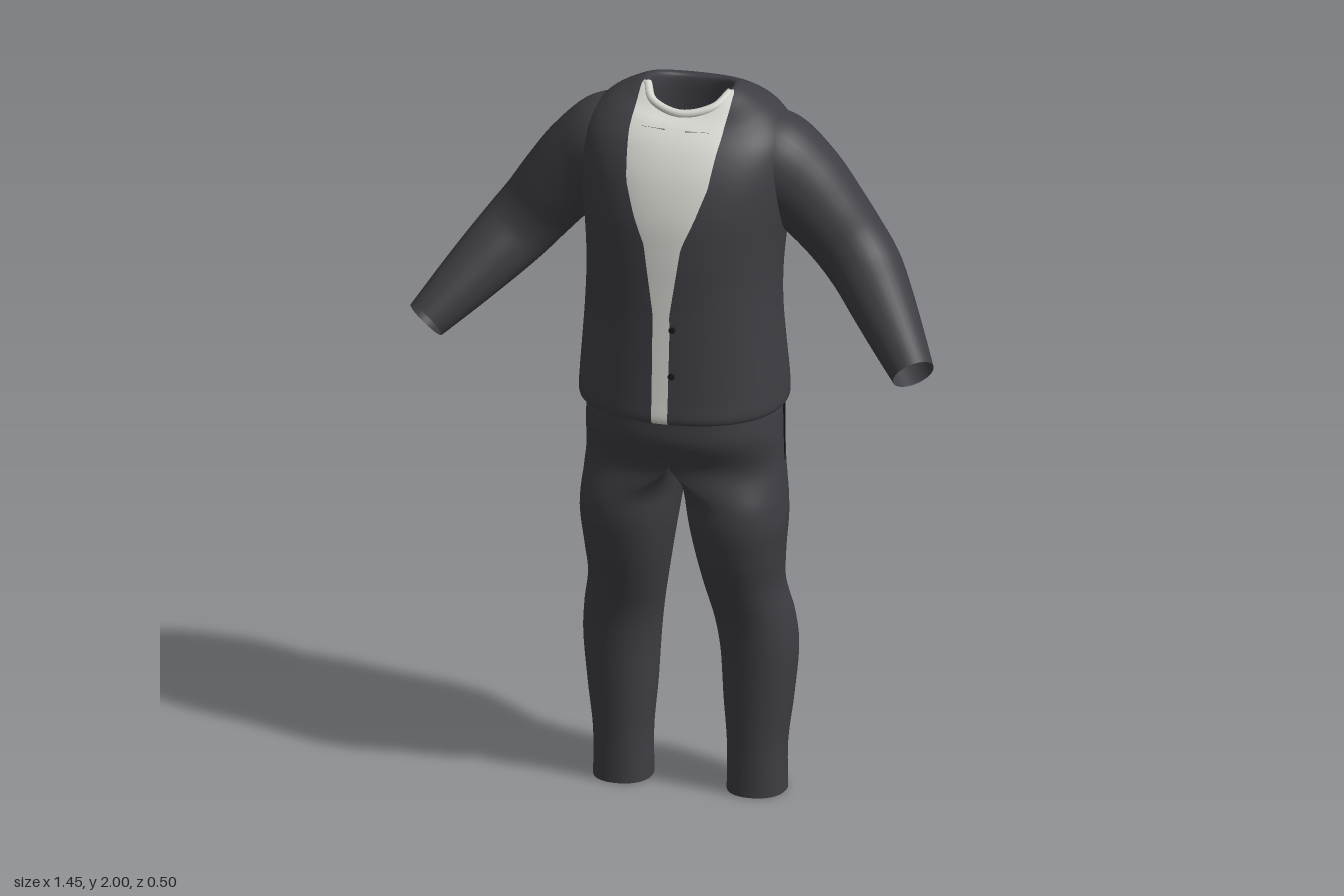
import * as THREE from 'three';
import { mergeVertices } from 'three/addons/utils/BufferGeometryUtils.js';

const paint = (name, color) => {
  const m = new THREE.MeshStandardMaterial({ color, side: THREE.DoubleSide });
  m.name = name;
  return m;
};

// Smooth interpolation through rows of numbers, t in 0..1
function sample(rows, t) {
  const s = Math.min(t, 1) * (rows.length - 1);
  const i = Math.min(Math.floor(s), rows.length - 2), k = s - i;
  const a = rows[Math.max(i - 1, 0)], b = rows[i], c = rows[i + 1], d = rows[Math.min(i + 2, rows.length - 1)];
  return b.map((_, n) => {
    const m0 = (c[n] - a[n]) / 2, m1 = (d[n] - b[n]) / 2, k2 = k * k, k3 = k2 * k;
    return (2 * k3 - 3 * k2 + 1) * b[n] + (k3 - 2 * k2 + k) * m0 + (3 * k2 - 2 * k3) * c[n] + (k3 - k2) * m1;
  });
}

// Smooth surface from f(i, j) -> [x, y, z], emitted column by column
function surface(nu, nv, f) {
  const pos = [], idx = [];
  for (let i = 0; i <= nu; i++) for (let j = 0; j <= nv; j++) pos.push(...f(i, j));
  for (let i = 0; i < nu; i++) for (let j = 0; j < nv; j++) {
    const a = i * (nv + 1) + j, b = a + nv + 1;
    idx.push(a, b, b + 1, a, b + 1, a + 1);
  }
  const g = new THREE.BufferGeometry();
  g.setAttribute('position', new THREE.Float32BufferAttribute(pos, 3));
  g.setIndex(idx);
  const merged = mergeVertices(g, 1e-5);
  merged.computeVertexNormals();
  return merged;
}

const sgnPow = (v, p) => Math.sign(v) * Math.abs(v) ** p;
const POW = 2 / 2.2;

// Jacket rings: y, half width, front z, back z, front drop, back drop
const TORSO = [
  [1.15, 0.26, 0.225, -0.205, 0, 0], [1.13, 0.272, 0.24, -0.22, 0, 0], [1.145, 0.281, 0.249, -0.23, 0, 0],
  [1.2, 0.279, 0.245, -0.228, 0, 0], [1.3, 0.271, 0.238, -0.214, 0, 0], [1.4, 0.264, 0.232, -0.206, 0, 0],
  [1.5, 0.262, 0.228, -0.216, 0, 0], [1.6, 0.268, 0.224, -0.236, 0, 0], [1.7, 0.28, 0.214, -0.25, 0, 0],
  [1.8, 0.29, 0.185, -0.255, 0, 0], [1.88, 0.282, 0.143, -0.246, 0.005, 0], [1.94, 0.235, 0.098, -0.225, 0.02, 0],
  [1.98, 0.172, 0.062, -0.188, 0.045, 0.01], [2.0, 0.122, 0.035, -0.15, 0.055, 0.02],
  [1.97, 0.108, 0.022, -0.138, 0.05, 0.01], [1.88, 0.115, 0.03, -0.14, 0.02, 0],
];
// Half width of the shirt opening by height
const OPENING = [[1.1, 0.022], [1.44, 0.024], [1.63, 0.052], [1.7, 0.082], [1.79, 0.113], [1.92, 0.128], [2.1, 0.128]];
function opening(y) {
  const i = Math.max(1, OPENING.findIndex((p) => p[0] >= y));
  const [y0, w0] = OPENING[i - 1], [y1, w1] = OPENING[i];
  return w0 + (w1 - w0) * (y - y0) / (y1 - y0);
}
function torsoPoint(ring, angle) {
  const [y, rx, zf, zb, df, db] = ring, c = Math.cos(angle);
  return [
    rx * sgnPow(Math.sin(angle), POW),
    y - df * Math.max(0, c) ** 2 - db * Math.max(0, -c) ** 2,
    (zf + zb) / 2 + (zf - zb) / 2 * sgnPow(c, POW),
  ];
}
const angleAt = (ring, x) => Math.asin(Math.min(0.97, (x / ring[1]) ** (1 / POW)));

function torso() {
  const ns = 16, nj = 64, nv = 90;
  const g = surface(ns + nj, nv, (i, j) => {
    const ring = sample(TORSO, j / nv), a = angleAt(ring, opening(ring[0]));
    return torsoPoint(ring, i <= ns ? -a + 2 * a * i / ns : a + (2 * Math.PI - 2 * a) * (i - ns) / nj);
  });
  g.addGroup(0, ns * nv * 6, 0);
  g.addGroup(ns * nv * 6, nj * nv * 6, 1);
  return g;
}

// Thin folded lapel lying on the jacket beside the opening
function lapel(side) {
  const nv = 20, nu = 6;
  return surface(nu, nv, (i, j) => {
    const t = j / nv, y = 1.42 + 0.29 * t, u = side > 0 ? i / nu : 1 - i / nu;
    const ring = sample(TORSO, (5 + (y - 1.4) * 10) / (TORSO.length - 1));
    const p = torsoPoint(ring, angleAt(ring, opening(y) + 0.075 * t * u));
    return [side * p[0], p[1], p[2] + 0.005];
  });
}

// Sleeve stations: x, y, z, radius
const SLEEVE = [
  [0.14, 1.83, -0.06, 0.12], [0.22, 1.795, -0.065, 0.138], [0.3, 1.735, -0.07, 0.125], [0.37, 1.66, -0.07, 0.112],
  [0.43, 1.585, -0.07, 0.103], [0.485, 1.52, -0.05, 0.098], [0.545, 1.455, 0.01, 0.088],
  [0.61, 1.385, 0.08, 0.074], [0.675, 1.315, 0.15, 0.058],
];
function sleeve(side) {
  const nu = 32, nv = 48;
  const at = (t) => sample(SLEEVE, t);
  return surface(nu, nv, (i, j) => {
    const t = j / nv, s = at(t);
    const T = new THREE.Vector3(...at(Math.min(1, t + 0.03))).sub(new THREE.Vector3(...at(Math.max(0, t - 0.03)))).normalize();
    const A = new THREE.Vector3(0, 0, 1).addScaledVector(T, -T.z).normalize();
    const B = new THREE.Vector3().crossVectors(T, A);
    const q = 2 * Math.PI * (side > 0 ? i : nu - i) / nu;
    const p = new THREE.Vector3(...s).addScaledVector(A, s[3] * Math.cos(q)).addScaledVector(B, s[3] * Math.sin(q));
    return [side * p.x, p.y, p.z];
  });
}

// Trouser leg rings: y, inner x, outer x, front z, back z
const LEG = [
  [0, 0.105, 0.265, 0.04, -0.13], [0.13, 0.106, 0.265, 0.042, -0.133], [0.26, 0.096, 0.28, 0.05, -0.15],
  [0.4, 0.088, 0.292, 0.062, -0.165], [0.5, 0.075, 0.285, 0.077, -0.155], [0.6, 0.055, 0.267, 0.108, -0.134],
  [0.7, 0.036, 0.272, 0.14, -0.13], [0.8, 0.018, 0.281, 0.16, -0.136], [0.9, 0.003, 0.275, 0.158, -0.155],
  [0.97, 0, 0.27, 0.163, -0.175], [1.05, 0, 0.268, 0.198, -0.195], [1.12, 0, 0.265, 0.2, -0.208],
  [1.2, 0, 0.25, 0.2, -0.195],
];
function leg(side) {
  const nu = 40, nv = 72;
  const g = surface(nu, nv, (i, j) => {
    const [y, xi, xo, zf, zb] = sample(LEG, j / nv);
    const q = 2 * Math.PI * (side > 0 ? i : nu - i) / nu;
    const sx = sgnPow(Math.sin(q), POW), sz = sgnPow(Math.cos(q), POW);
    // round leg turning into half of the hips
    const k = THREE.MathUtils.smoothstep(y, 0.85, 0.98);
    const x = (1 - k) * ((xi + xo) / 2 + (xo - xi) / 2 * sx) + k * Math.max(0, xo * sx);
    return [side * Math.max(0, x), y, (zf + zb) / 2 + (zf - zb) / 2 * sz];
  });
  // keep the centre seam smooth between both halves
  const p = g.attributes.position, n = g.attributes.normal, v = new THREE.Vector3();
  for (let i = 0; i < p.count; i++) {
    if (Math.abs(p.getX(i)) > 1e-3 || Math.abs(p.getZ(i)) < 0.1) continue;
    v.fromBufferAttribute(n, i).setX(0).normalize();
    n.setXYZ(i, v.x, v.y, v.z);
  }
  return g;
}

export function createModel() {
  const group = new THREE.Group();
  const cloth = paint('charcoal cloth', 0x3e3d43);
  const shirt = paint('off-white shirt', 0xd6d6d0);
  const trim = paint('dark trim', 0x1c1c20);
  const shade = paint('grey stitching', 0x77777a);
  const add = (name, geometry, material) => {
    const m = new THREE.Mesh(geometry, material);
    m.name = name;
    group.add(m);
    return m;
  };

  add('jacketAndShirtFront', torso(), [shirt, cloth]);
  for (const [side, label] of [[1, 'left'], [-1, 'right']]) {
    add(label + 'Sleeve', sleeve(side), cloth);
    add(label + 'Lapel', lapel(side), cloth);
    add(label + 'TrouserLeg', leg(side), cloth);
    // side pocket seam
    add(label + 'PocketSeam', new THREE.BoxGeometry(0.006, 0.17, 0.004), trim).position.set(side * 0.268, 1.045, -0.015);
    // collar stitching
    const s = add(label + 'CollarStitch', new THREE.BoxGeometry(0.065, 0.006, 0.006), shade);
    s.position.set(side * 0.06, 1.915, 0.096);
    s.rotation.y = side * 0.12;
  }

  // Shirt collar band
  const path = new THREE.CatmullRomCurve3([[-0.115, 1.99, -0.03], [-0.085, 1.962, 0.02], [0, 1.943, 0.047], [0.085, 1.962, 0.02], [0.115, 1.99, -0.03]]
    .map((p) => new THREE.Vector3(...p)));
  add('shirtCollar', new THREE.TubeGeometry(path, 32, 0.012, 10), shirt);

  // Jacket buttons
  for (const [y, z] of [[1.4, 0.236], [1.27, 0.244]]) {
    const b = add('button', new THREE.CylinderGeometry(0.009, 0.009, 0.008, 16), trim);
    b.position.set(0.032, y, z);
    b.rotation.x = Math.PI / 2;
  }
  return group;
}
